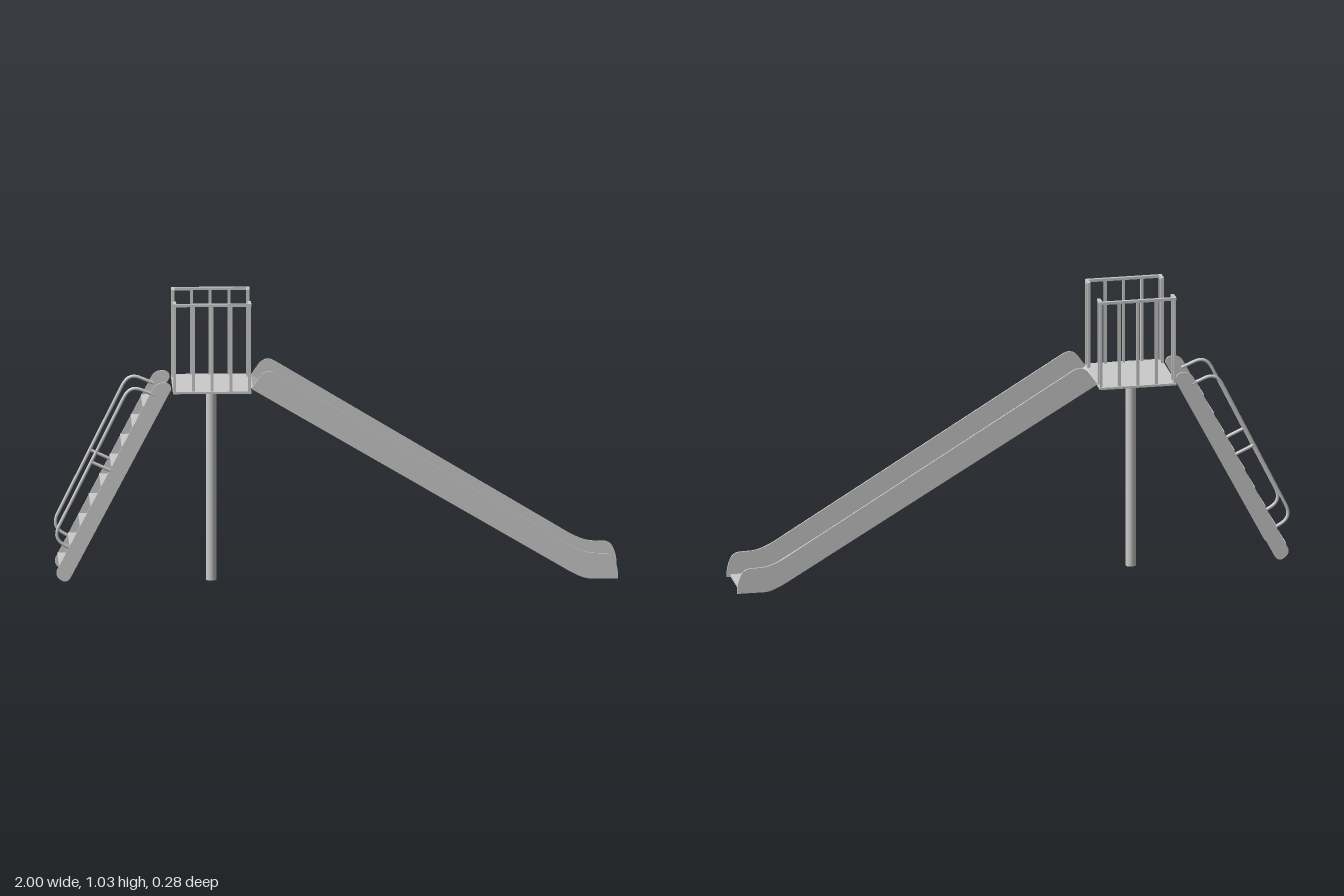
import * as THREE from 'three';

const material = new THREE.MeshStandardMaterial({ color: 0xcccccc });

function add(parent, name, geometry, x = 0, y = 0, z = 0) {
  const mesh = new THREE.Mesh(geometry, material);
  mesh.name = name;
  mesh.position.set(x, y, z);
  parent.add(mesh);
  return mesh;
}

// Extrudes an xy outline along z, centred on z = 0
function plate(shape, depth) {
  const geometry = new THREE.ExtrudeGeometry(shape, { depth, bevelEnabled: false, curveSegments: 8 });
  return geometry.translate(0, 0, -depth / 2);
}

const box = (w, h, d) => new THREE.BoxGeometry(w, h, d);
const v = (x, y, z = 0) => new THREE.Vector3(x, y, z);

const SIDE_Z = 0.096;      // centre plane of slide and ladder sides
const SIDE_T = 0.006;      // thickness of those sides
const DECK_X = -0.443;
const DECK_W = 0.278;
const DECK_Y = 0.717;

function slideSideShape() {
  const s = new THREE.Shape();
  s.moveTo(-0.303, 0.717);
  s.lineTo(-0.275, 0.758);
  s.quadraticCurveTo(-0.25, 0.795, -0.213, 0.772);
  s.lineTo(0.8, 0.157);
  s.quadraticCurveTo(0.872, 0.11, 0.915, 0.11);
  s.lineTo(0.95, 0.109);
  s.quadraticCurveTo(0.98, 0.108, 0.989, 0.078);
  s.quadraticCurveTo(1, 0.05, 0.999, 0.018);
  s.lineTo(0.9, 0.018);
  s.quadraticCurveTo(0.87, 0.018, 0.805, 0.058);
  s.closePath();
  return s;
}

// Thin strip following the lower edge of the slide sides
function slideFloorShape() {
  const s = new THREE.Shape();
  s.moveTo(-0.303, 0.717);
  s.lineTo(-0.299, 0.724);
  s.lineTo(0.81, 0.067);
  s.quadraticCurveTo(0.87, 0.029, 0.9, 0.028);
  s.lineTo(0.986, 0.028);
  s.lineTo(0.986, 0.019);
  s.lineTo(0.9, 0.019);
  s.quadraticCurveTo(0.87, 0.019, 0.805, 0.059);
  s.closePath();
  return s;
}

function ladderSideShape() {
  const s = new THREE.Shape();
  s.moveTo(-0.992, 0.062);
  s.lineTo(-0.654, 0.716);
  s.quadraticCurveTo(-0.641, 0.741, -0.615, 0.741);
  s.quadraticCurveTo(-0.588, 0.741, -0.587, 0.717);
  s.lineTo(-0.943, 0.035);
  s.quadraticCurveTo(-0.955, 0.013, -0.974, 0.021);
  s.quadraticCurveTo(-1.003, 0.038, -0.992, 0.062);
  return s;
}

function handrailPath() {
  const path = new THREE.CurvePath();
  path.add(new THREE.LineCurve3(v(-0.95, 0.142), v(-0.966, 0.151)));
  path.add(new THREE.CubicBezierCurve3(v(-0.966, 0.151), v(-0.99, 0.165), v(-1.002, 0.185), v(-0.986, 0.22)));
  path.add(new THREE.LineCurve3(v(-0.986, 0.22), v(-0.757, 0.685)));
  path.add(new THREE.CubicBezierCurve3(v(-0.757, 0.685), v(-0.74, 0.72), v(-0.72, 0.727), v(-0.69, 0.714)));
  path.add(new THREE.LineCurve3(v(-0.69, 0.714), v(-0.645, 0.695)));
  return path;
}

// Railing on one long edge of the deck, with short returns at both ends
function buildRailing(side) {
  const railing = new THREE.Group();
  railing.name = side > 0 ? 'frontRailing' : 'backRailing';
  const outer = side * 0.13, inner = side * 0.095;
  const top = 1.03, h = top - DECK_Y, midY = DECK_Y + h / 2;
  add(railing, 'topRail', box(DECK_W, 0.01, 0.011), DECK_X, top, outer);
  for (let i = 0; i < 5; i++) {
    const x = DECK_X + (i - 2) * 0.0665;
    add(railing, 'baluster', box(0.01, h, 0.01), x, midY, outer);
  }
  for (const end of [-1, 1]) {
    const x = DECK_X + end * 0.133;
    add(railing, 'returnRail', box(0.012, 0.01, 0.046), x, top, side * 0.1125);
    add(railing, 'returnPost', box(0.01, h, 0.01), x, midY, inner);
  }
  return railing;
}

export function createModel() {
  const model = new THREE.Group();
  model.name = 'playgroundSlide';

  // Deck on a single round post
  add(model, 'supportPost', new THREE.CylinderGeometry(0.019, 0.019, 0.712, 24), DECK_X, 0.356, 0);
  add(model, 'deck', box(DECK_W, 0.008, 0.28), DECK_X, DECK_Y - 0.004, 0);
  for (const side of [-1, 1]) model.add(buildRailing(side));

  // Chute
  const slide = new THREE.Group();
  slide.name = 'slide';
  model.add(slide);
  add(slide, 'slideFloor', plate(slideFloorShape(), 0.19));
  for (const side of [-1, 1]) add(slide, 'slideSide', plate(slideSideShape(), SIDE_T), 0, 0, side * SIDE_Z);

  // Ladder with flat treads and tubular handrails
  const ladder = new THREE.Group();
  ladder.name = 'ladder';
  model.add(ladder);
  for (let i = 0; i < 9; i++) {
    add(ladder, 'tread', box(0.056, 0.008, 0.19), -0.958 + i * 0.0371, 0.076 + i * 0.0718, 0);
  }
  const brace = new THREE.LineCurve3(v(-0.87, 0.453), v(-0.8, 0.42));
  for (const side of [-1, 1]) {
    add(ladder, 'ladderSide', plate(ladderSideShape(), SIDE_T), 0, 0, side * SIDE_Z);
    add(ladder, 'handrail', new THREE.TubeGeometry(handrailPath(), 80, 0.006, 10), 0, 0, side * 0.094);
    add(ladder, 'handrailBrace', new THREE.TubeGeometry(brace, 1, 0.006, 10), 0, 0, side * 0.094);
  }

  return model;
}
